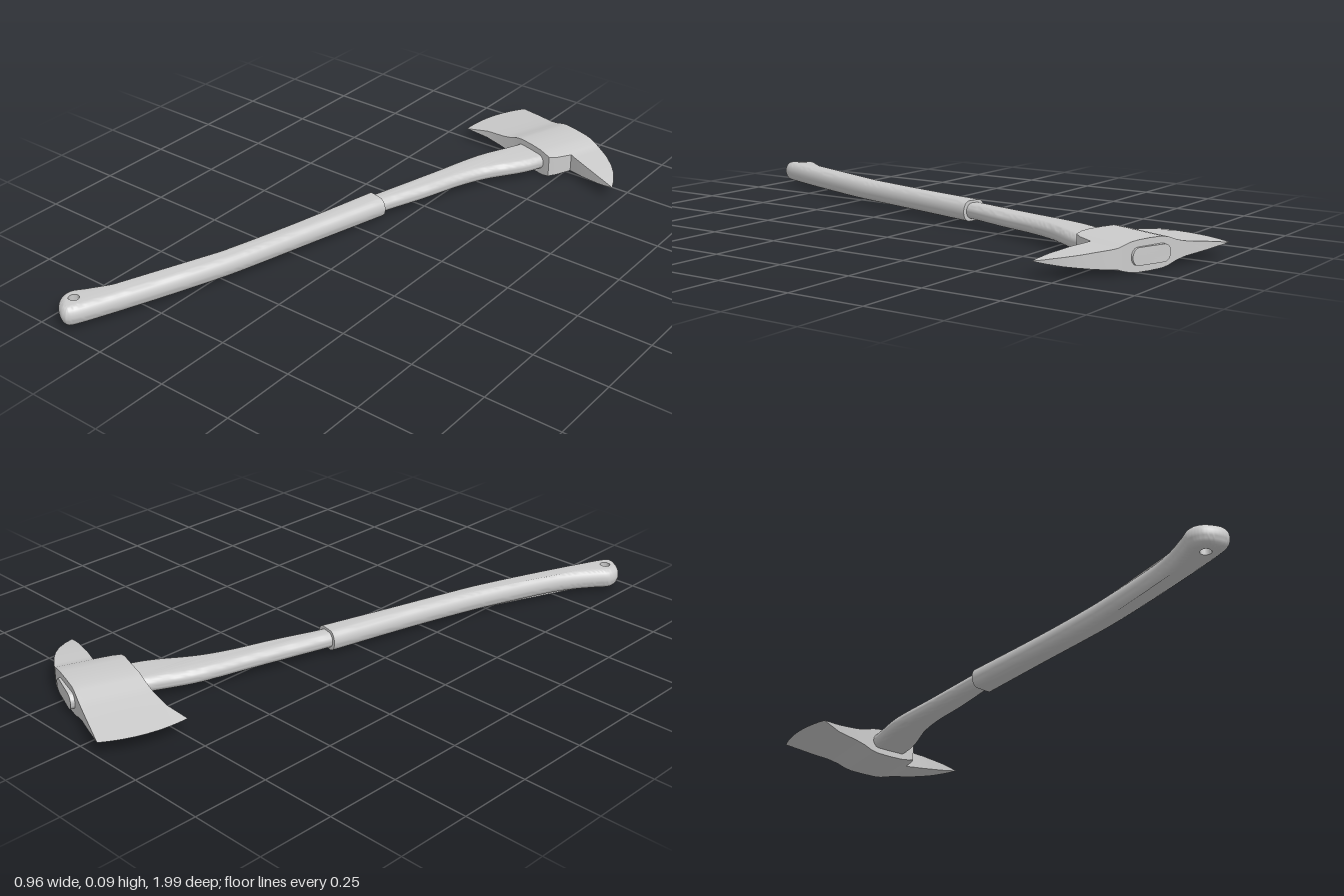
import * as THREE from 'three';
import { toCreasedNormals } from 'three/addons/utils/BufferGeometryUtils.js';

const MID_Y = 0.047;
const vec = ([x, z]) => new THREE.Vector2(x, -z);

// Flat outline in the ground plane, thickened, with its rim rounded toward a centre line.
function roundedSlab(shape, centre, halfHeight, rounding, hole) {
  const geo = new THREE.ExtrudeGeometry(shape, { depth: 2, steps: 12, bevelEnabled: false, curveSegments: 8 });
  const line = new THREE.SplineCurve(centre.map(vec)).getSpacedPoints(240);
  const pos = geo.attributes.position;
  const p = new THREE.Vector2();
  for (let i = 0; i < pos.count; i++) {
    const angle = (pos.getZ(i) - 1) * Math.PI / 2;
    p.set(pos.getX(i), pos.getY(i));
    const onHole = hole && p.distanceTo(hole.centre) < hole.radius * 1.2;
    if (!onHole) {
      let near = line[0];
      for (const c of line) if (c.distanceToSquared(p) < near.distanceToSquared(p)) near = c;
      const inset = rounding * (1 - Math.cos(angle));
      p.lerp(near, Math.min(0.9, inset / p.distanceTo(near)));
    }
    pos.setXYZ(i, p.x, p.y, halfHeight * Math.sin(angle));
  }
  geo.rotateX(-Math.PI / 2);
  geo.translate(0, MID_Y, 0);
  return toCreasedNormals(geo, 0.7);
}

// Axe head: sections [u, vTop, vBottom, halfThickness] from cutting edge to spike tip.
function headGeometry() {
  const sections = [
    [-0.411, -0.911, -0.636, 0],
    [-0.325, -0.908, -0.672, 0.013],
    [-0.25, -0.905, -0.686, 0.022],
    [-0.215, -0.904, -0.691, 0.03],
    [-0.185, -0.904, -0.696, 0.041],
    [-0.16, -0.904, -0.698, 0.046],
    [-0.11, -0.907, -0.702, 0.047],
    [-0.06, -0.91, -0.704, 0.046],
    [-0.035, -0.911, -0.704, 0.043],
    [-0.012, -0.911, -0.706, 0.037],
    [-0.001, -0.911, -0.734, 0.034],
    [0.006, -0.91, -0.79, 0.031],
    [0.03, -0.906, -0.789, 0.028],
    [0.074, -0.894, -0.788, 0.024],
    [0.12, -0.876, -0.789, 0.018],
    [0.157, -0.855, -0.79, 0.013],
    [0.195, -0.824, -0.793, 0.006],
    [0.221, -0.796, -0.796, 0],
  ];
  const steps = 10;
  const ring = 2 * (steps + 1);
  const tilt = THREE.MathUtils.degToRad(20);
  const cos = Math.cos(tilt), sin = Math.sin(tilt);
  const positions = [], index = [];
  sections.forEach(([u0, top, bottom, half], i) => {
    for (let j = 0; j < ring; j++) {
      const upper = j <= steps;
      const t = (upper ? j : ring - 1 - j) / steps;
      const v = top + (bottom - top) * t;
      // The cutting edge bows outward
      const bow = i === 0 ? 0.023 * (1 - (2 * t - 1) ** 2) + 0.009 * (1 - 2 * t) : 0;
      const u = u0 - bow;
      positions.push(u * cos - v * sin, MID_Y + (upper ? half : -half), u * sin + v * cos);
    }
  });
  for (let i = 0; i < sections.length - 1; i++) {
    for (let j = 0; j < ring; j++) {
      const k = (j + 1) % ring;
      const a = i * ring + j, b = i * ring + k;
      index.push(a, b, b + ring, a, b + ring, a + ring);
    }
  }
  const geo = new THREE.BufferGeometry();
  geo.setAttribute('position', new THREE.Float32BufferAttribute(positions, 3));
  geo.setIndex(index);
  return toCreasedNormals(geo, 0.5);
}

function gripGeometry() {
  // Outline runs down the left edge, round the butt and back up the right edge
  const shape = new THREE.Shape();
  shape.moveTo(-0.132, 0.108);
  shape.splineThru([
    [-0.2, 0.19], [-0.255, 0.4], [-0.292, 0.52], [-0.355, 0.7], [-0.398, 0.79], [-0.445, 0.86],
    [-0.474, 0.9], [-0.474, 0.94], [-0.45, 0.972], [-0.41, 0.992], [-0.383, 0.975],
    [-0.345, 0.89], [-0.272, 0.7], [-0.205, 0.51], [-0.165, 0.37], [-0.115, 0.18], [-0.042, -0.088],
  ].map(vec));
  shape.closePath();
  const hole = { centre: vec([-0.425, 0.93]), radius: 0.017 };
  shape.holes.push(new THREE.Path().absarc(hole.centre.x, hole.centre.y, hole.radius, 0, Math.PI * 2));
  const centre = [[-0.06, -0.22], [-0.087, -0.1], [-0.157, 0.18], [-0.209, 0.4], [-0.247, 0.52],
    [-0.313, 0.7], [-0.39, 0.86], [-0.425, 0.93]];
  return roundedSlab(shape, centre, 0.034, 0.026, hole);
}

function shaftGeometry() {
  const shape = new THREE.Shape();
  shape.moveTo(0.143, 0.924);
  shape.splineThru([[0.07, -0.715], [0, -0.555], [-0.052, -0.36], [-0.12, -0.11], [-0.148, 0]].map(vec));
  shape.lineTo(-0.078, 0);
  shape.splineThru([[-0.053, -0.095], [0.004, -0.25], [0.048, -0.386], [0.095, -0.49],
    [0.168, -0.6], [0.205, -0.68], [0.278, -0.876]].map(vec));
  shape.closePath();
  const centre = [[0.25, -1.02], [0.21, -0.9], [0.14, -0.7], [0.06, -0.52], [-0.003, -0.37],
    [-0.087, -0.1], [-0.125, 0.06]];
  return roundedSlab(shape, centre, 0.026, 0.024);
}

export function createModel() {
  const group = new THREE.Group();
  group.name = 'fireAxe';
  const material = new THREE.MeshStandardMaterial({ color: 0xcccccc });
  const add = (name, geometry) => {
    const mesh = new THREE.Mesh(geometry, material);
    mesh.name = name;
    group.add(mesh);
  };
  add('axeHead', headGeometry());
  add('shaft', shaftGeometry());
  add('grip', gripGeometry());
  return group;
}
